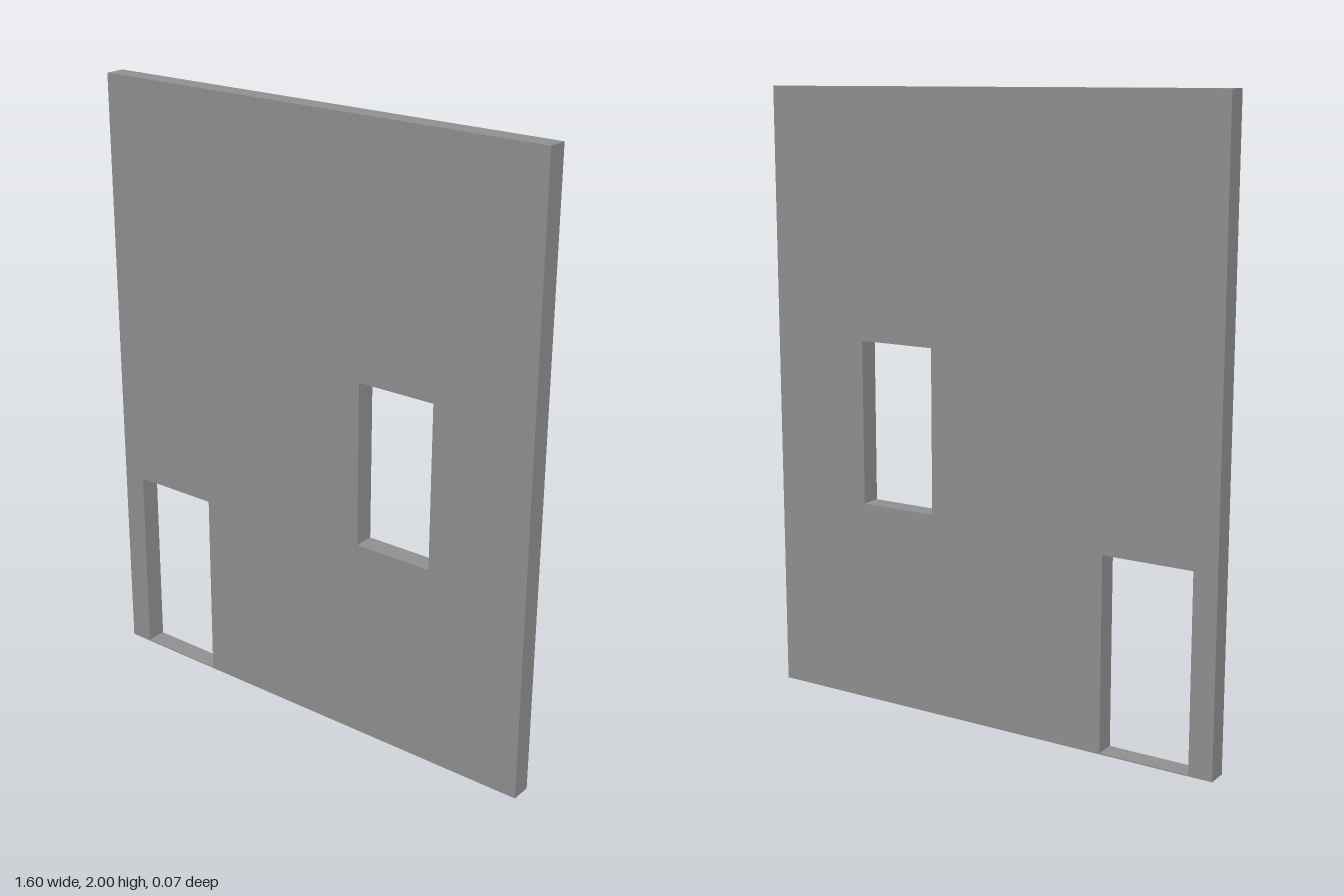
import * as THREE from 'three';

const WIDTH = 1.6, HEIGHT = 2, DEPTH = 0.067;

// Traces a rectangle given its left, bottom, right and top edges
function rectangle(path, x0, y0, x1, y1) {
  path.moveTo(x0, y0);
  path.lineTo(x1, y0);
  path.lineTo(x1, y1);
  path.lineTo(x0, y1);
  path.closePath();
  return path;
}

export function createModel() {
  const group = new THREE.Group();
  group.name = 'wallPanel';

  const outline = rectangle(new THREE.Shape(), -WIDTH / 2, 0, WIDTH / 2, HEIGHT);
  outline.holes.push(
    rectangle(new THREE.Path(), -0.722, 0.004, -0.422, 0.633), // doorway above a thin threshold
    rectangle(new THREE.Path(), 0.193, 0.667, 0.46, 1.203)     // window opening
  );

  // Wall slab with both openings cut through
  const geometry = new THREE.ExtrudeGeometry(outline, { depth: DEPTH, bevelEnabled: false });
  geometry.translate(0, 0, -DEPTH / 2);
  const wall = new THREE.Mesh(geometry, new THREE.MeshStandardMaterial({ color: 0x919191 }));
  wall.name = 'wall';
  group.add(wall);

  return group;
}
